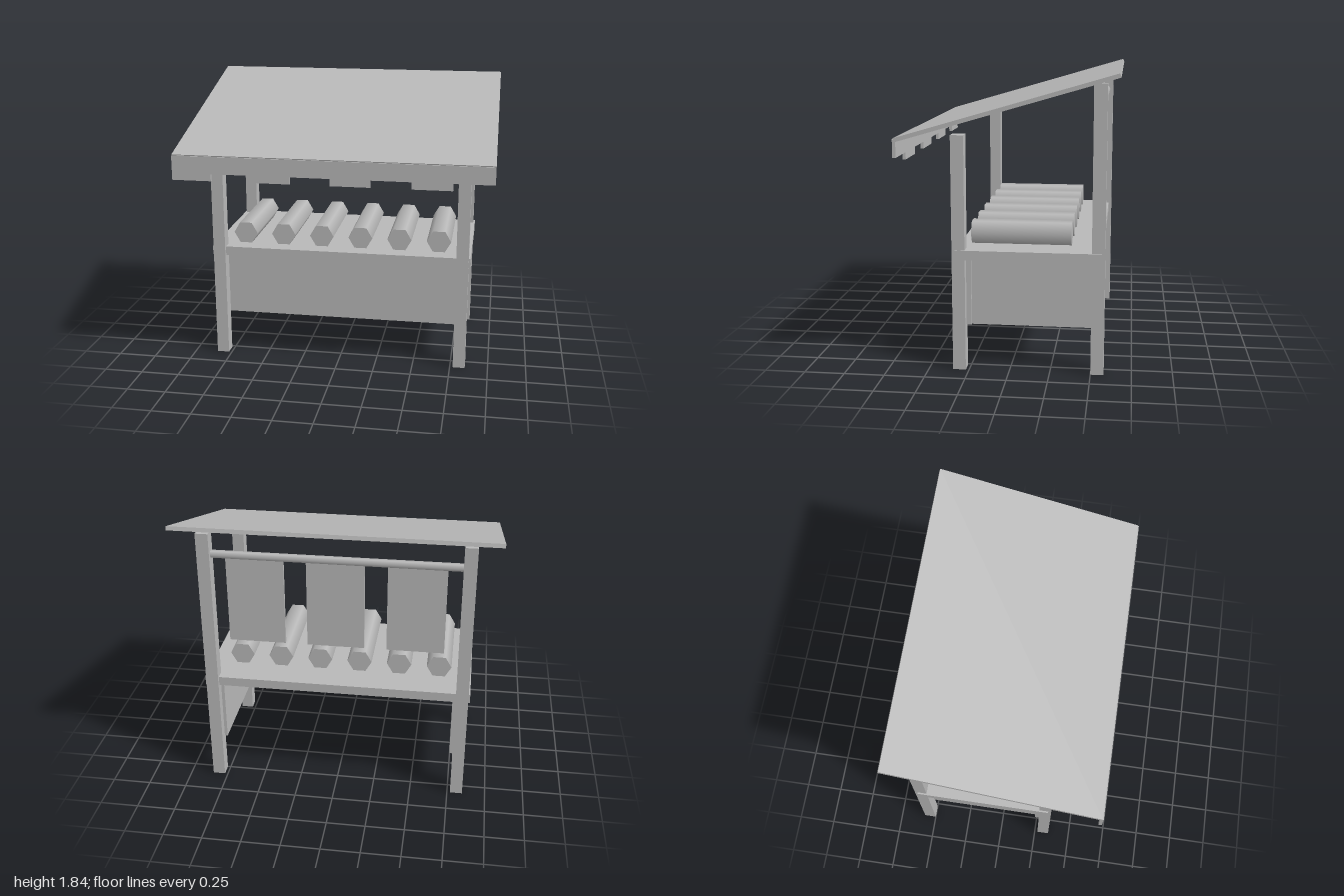
import * as THREE from 'three';

export function createModel() {
  const stall = new THREE.Group();
  stall.name = 'marketStall';
  const grey = new THREE.MeshStandardMaterial({ color: 0xb8b8b8 });
  grey.name = 'plainGrey';

  function add(name, geometry, x = 0, y = 0, z = 0) {
    const mesh = new THREE.Mesh(geometry, grey);
    mesh.name = name;
    mesh.position.set(x, y, z);
    stall.add(mesh);
    return mesh;
  }
  // Box given by its limits on each axis
  function box(name, x0, x1, y0, y1, z0, z1) {
    return add(name, new THREE.BoxGeometry(x1 - x0, y1 - y0, z1 - z0),
      (x0 + x1) / 2, (y0 + y1) / 2, (z0 + z1) / 2);
  }

  // Posts and side panels, mirrored
  for (const s of [-1, 1]) {
    const side = s > 0 ? 'left' : 'right';
    const px = 0.81 * s;
    box(side + 'FrontPost', px - 0.04, px + 0.04, 0, 1.46, 0.27, 0.35);
    box(side + 'BackPost', px - 0.04, px + 0.04, 0, 1.77, -0.58, -0.5);
    const sx = 0.765 * s;
    box(side + 'Panel', sx - 0.015, sx + 0.015, 0.275, 0.7, -0.52, 0.24);
  }

  // Counter
  box('counterTop', -0.86, 0.86, 0.7, 0.76, -0.56, 0.33);
  box('frontPanel', -0.8, 0.8, 0.275, 0.7, 0.24, 0.27);

  // Sloping roof
  const roof = add('roof', new THREE.BoxGeometry(2, 0.025, 1.362), 0, 1.635, 0);
  roof.rotation.x = Math.atan(0.292);

  // Valance with four hanging tabs
  const outline = new THREE.Shape();
  outline.moveTo(-1, 1.45);
  for (let i = 0; i < 4; i++) {
    const x = -1 + i * 0.5;
    outline.lineTo(x, 1.295);
    outline.lineTo(x + 0.25, 1.295);
    outline.lineTo(x + 0.25, 1.34);
    outline.lineTo(x + 0.5, 1.34);
  }
  outline.lineTo(1, 1.45);
  add('valance', new THREE.ExtrudeGeometry(outline, { depth: 0.02, bevelEnabled: false }), 0, 0, 0.643);

  // Cloth rolls lying on the counter
  const rollGeometry = new THREE.CylinderGeometry(0.08, 0.08, 0.62, 6);
  rollGeometry.rotateY(Math.PI / 2).rotateX(Math.PI / 2);
  for (let i = 0; i < 6; i++) add('clothRoll', rollGeometry, (i - 2.5) * 0.26, 0.84, -0.06);

  // Rail between the back posts with hanging cloths
  const railGeometry = new THREE.CylinderGeometry(0.025, 0.025, 1.56, 6);
  railGeometry.rotateZ(Math.PI / 2);
  add('hangingRail', railGeometry, 0, 1.625, -0.535);
  for (const x of [-0.5, 0, 0.5]) box('hangingCloth', x - 0.18, x + 0.18, 1.04, 1.61, -0.545, -0.525);

  return stall;
}
